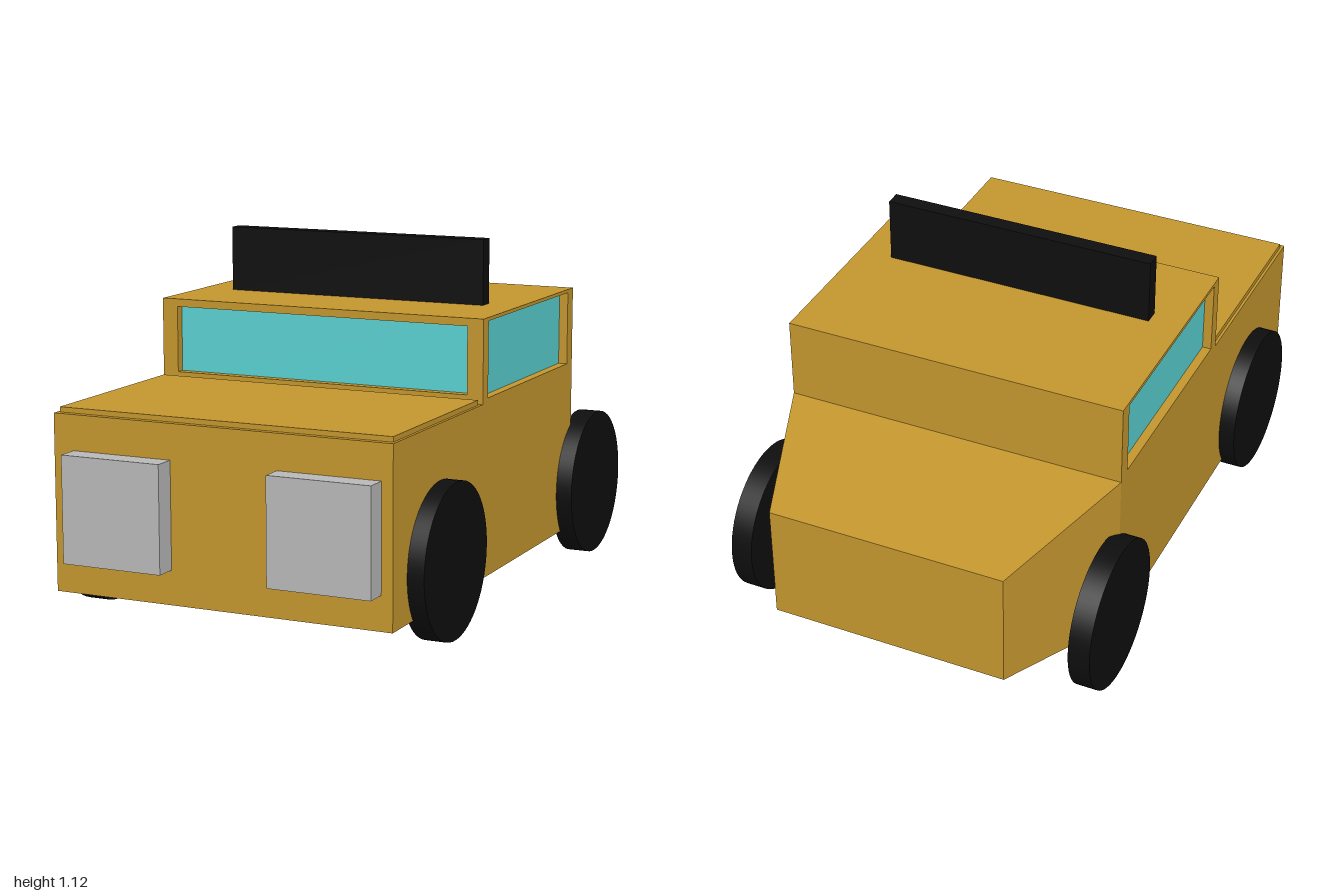
import * as THREE from 'three';

const material = (name, color) => {
  const m = new THREE.MeshStandardMaterial({ color });
  m.name = name;
  return m;
};

export function createModel() {
  const ochre = material('ochre paint', 0xc3952e);
  const glass = material('turquoise glass', 0x5ad0d0);
  const grey = material('light grey', 0xb8b8b8);
  const black = material('black', 0x0e0e0e);
  const model = new THREE.Group();
  model.name = 'car';

  const add = (name, geometry, mat) => {
    const mesh = new THREE.Mesh(geometry, mat);
    mesh.name = name;
    model.add(mesh);
    return mesh;
  };
  // Box given by its limits on each axis
  const box = (name, mat, [x0, x1], [y0, y1], [z0, z1]) => {
    const mesh = add(name, new THREE.BoxGeometry(x1 - x0, y1 - y0, z1 - z0), mat);
    mesh.position.set((x0 + x1) / 2, (y0 + y1) / 2, (z0 + z1) / 2);
    return mesh;
  };
  // Flat wall with a rectangular window opening, extruded by its thickness
  const wall = 0.03;
  const frame = (a0, a1, b0, b1, h0, h1, k0, k1) => {
    const shape = new THREE.Shape([[a0, b0], [a1, b0], [a1, b1], [a0, b1]].map(p => new THREE.Vector2(...p)));
    shape.holes.push(new THREE.Path([[h0, k0], [h0, k1], [h1, k1], [h1, k0]].map(p => new THREE.Vector2(...p))));
    return new THREE.ExtrudeGeometry(shape, { depth: wall, bevelEnabled: false });
  };

  const W = 0.556, beltY = 0.654, roofY = 0.917, cabBack = -0.53, cabFront = 0.262;

  // Lower body and raised hood panel
  box('body', ochre, [-W, W], [0.105, beltY], [cabBack, 0.93]);
  box('hoodPanel', ochre, [-0.547, 0.547], [beltY - 0.01, 0.67], [0.28, 0.91]);

  // Tapered tail: the rear face of a box is narrowed
  const tail = new THREE.BoxGeometry(2 * W, beltY - 0.105, 0.47);
  tail.translate(0, (beltY + 0.105) / 2, -0.765);
  const p = tail.attributes.position;
  for (let i = 0; i < p.count; i++) {
    if (p.getZ(i) < -0.9) p.setXYZ(i, Math.sign(p.getX(i)) * 0.385, p.getY(i) > 0.4 ? 0.57 : 0.19, -1);
  }
  tail.computeVertexNormals();
  add('tail', tail, ochre);

  // Cabin roof, rear wall and windscreen frame
  box('roof', ochre, [-W, W], [roofY - 0.01, roofY], [cabBack, cabFront]);
  box('cabinRear', ochre, [-W, W], [beltY, roofY], [cabBack, cabBack + wall]);
  add('windscreenFrame', frame(-W, W, beltY, roofY, -0.503, 0.503, 0.68, 0.892), ochre)
    .position.z = cabFront - wall;
  box('windscreen', glass, [-0.51, 0.51], [0.67, 0.9], [cabFront - wall - 0.005, cabFront - wall + 0.001]);

  for (const side of [1, -1]) {
    const label = side > 0 ? 'left' : 'right';

    // Side window frame and recessed glass
    const sideFrame = add(label + 'WindowFrame',
      frame(-cabFront, -cabBack, beltY, roofY, -0.22, 0.482, 0.668, 0.906), ochre);
    sideFrame.rotation.y = Math.PI / 2;
    sideFrame.position.x = side > 0 ? W - wall : -W;
    const gx = side * (W - wall - 0.002);
    box(label + 'Window', glass, [gx - 0.003, gx + 0.003], [0.66, 0.912], [-0.49, 0.228]);

    // Wheels
    for (const [end, z] of [['Front', 0.59], ['Rear', -0.64]]) {
      const wheel = add(label + end + 'Wheel', new THREE.CylinderGeometry(0.24, 0.24, 0.07, 64), black);
      wheel.rotation.z = Math.PI / 2;
      wheel.position.set(side * 0.574, 0.243, z);
    }

    // Square headlights, set slightly off centre
    const lx = side * 0.34 + 0.015;
    box(label + 'Headlight', grey, [lx - 0.165, lx + 0.165], [0.212, 0.544], [0.925, 1]);
  }

  // Bar standing across the roof
  box('roofBar', black, [-0.446, 0.443], [roofY - 0.005, 1.125], [-0.062, -0.012]);

  return model;
}
